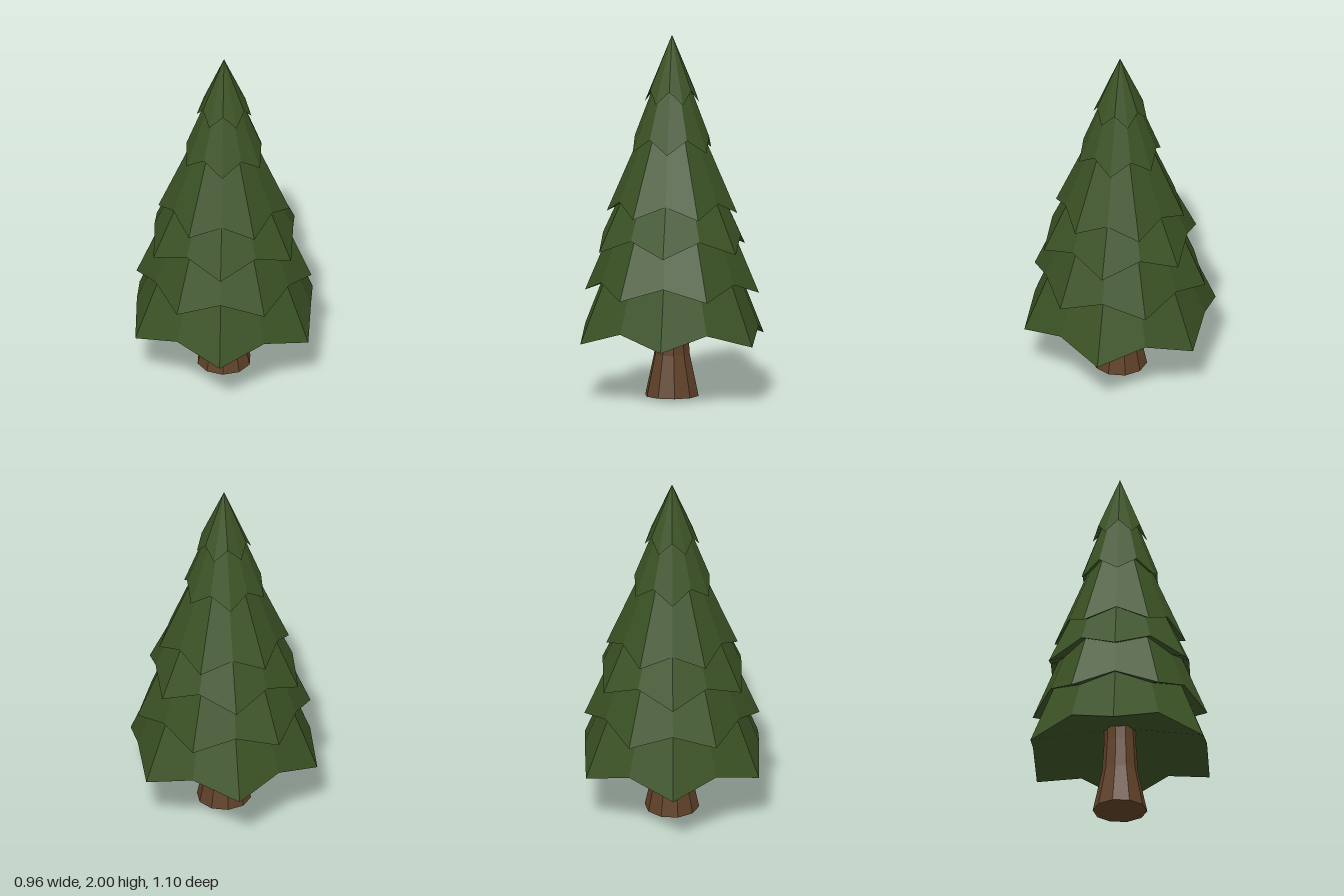
import * as THREE from 'three';

const SIDES = 12;

// A jagged cone: every second rim corner is a low tip, the others are raised, drawn-in notches.
function tierGeometry({ tipR, notchR, tipY, notchY, apex }, tipParity) {
  const geo = new THREE.ConeGeometry(1, 1, SIDES, 1);
  const pos = geo.attributes.position;
  for (let i = 0; i < pos.count; i++) {
    const x = pos.getX(i), y = pos.getY(i), z = pos.getZ(i);
    if (y > 0) {
      pos.setXYZ(i, 0, apex, 0);
    } else if (Math.hypot(x, z) < 0.01) {
      pos.setXYZ(i, 0, tipY + 0.185, 0); // hollow underside
    } else {
      const k = Math.round(Math.atan2(x, z) / (2 * Math.PI / SIDES)) + SIDES;
      const tip = k % 2 === tipParity;
      const r = tip ? tipR : notchR;
      pos.setXYZ(i, x * r, tip ? tipY : notchY, z * r);
    }
  }
  geo.computeVertexNormals();
  return geo;
}

export function createModel() {
  const tree = new THREE.Group();
  tree.name = 'pineTree';
  const leaves = new THREE.MeshStandardMaterial({ color: 0x3a5224, flatShading: true });
  const bark = new THREE.MeshStandardMaterial({ color: 0x5f4128, flatShading: true });

  // Trunk, flared at the foot
  const profile = [[0, 0], [0.15, 0], [0.1, 0.23], [0.088, 0.4], [0.085, 0.55]];
  const trunk = new THREE.Mesh(
    new THREE.LatheGeometry(profile.map(([r, y]) => new THREE.Vector2(r, y)), 10), bark);
  trunk.name = 'trunk';
  tree.add(trunk);

  // Branch tiers from bottom to top, each turned by half a tip
  const tiers = [
    { tipR: 0.548, notchR: 0.478, tipY: 0.315, notchY: 0.395, apex: 1.62 },
    { tipR: 0.48, notchR: 0.424, tipY: 0.577, notchY: 0.65, apex: 1.72 },
    { tipR: 0.436, notchR: 0.38, tipY: 0.817, notchY: 0.9, apex: 1.73 },
    { tipR: 0.36, notchR: 0.313, tipY: 1.017, notchY: 1.09, apex: 1.85 },
    { tipR: 0.234, notchR: 0.205, tipY: 1.363, notchY: 1.44, apex: 1.98 },
    { tipR: 0.15, notchR: 0.131, tipY: 1.63, notchY: 1.7, apex: 2 },
  ];
  tiers.forEach((tier, i) => {
    // odd tiers have their tips on the side axis, even ones on the front axis
    const geo = tierGeometry(tier, i % 2);
    const mesh = new THREE.Mesh(geo, leaves);
    mesh.name = `branchTier${i + 1}`;
    tree.add(mesh);
  });
  return tree;
}
